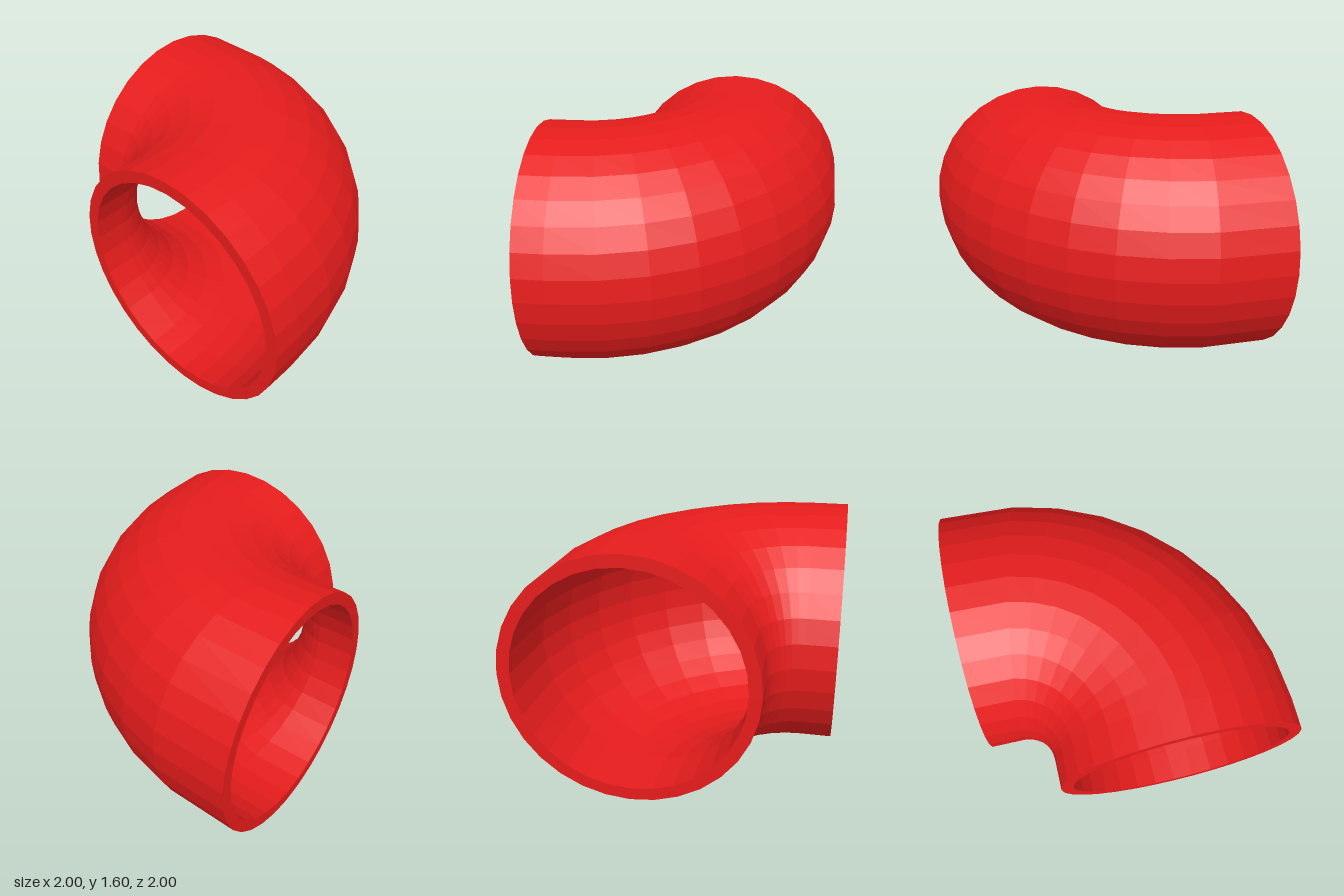
import * as THREE from 'three';

const SIDES = 32, OUTER = 0.8, INNER = 0.72, BEND = 1, CX = -0.8, CZ = 0.8, MID_Y = 0.8;

// Ring centres and headings along the elbow: straight end, 10 degree steps, straight end
function stations() {
  const list = [{ x: CX + BEND, z: 1, a: 0 }];
  for (let i = 0; i < 9; i++) {
    const a = THREE.MathUtils.degToRad(i * 10);
    list.push({ x: CX + BEND * Math.cos(a), z: CZ - BEND * Math.sin(a), a });
  }
  list.push({ x: -1, z: CZ - BEND, a: Math.PI / 2 });
  return list;
}

// Point on a ring of radius r; the ring plane holds y and the outward bend direction
function ringPoint(s, r, j) {
  const t = (j / SIDES) * Math.PI * 2, u = r * Math.cos(t);
  return [s.x + u * Math.cos(s.a), MID_Y + r * Math.sin(t), s.z - u * Math.sin(s.a)];
}

// Skin a list of rings, each { s: station, r: radius }
function skin(rings) {
  const pos = [], index = [], w = SIDES + 1;
  for (const { s, r } of rings) {
    for (let j = 0; j <= SIDES; j++) pos.push(...ringPoint(s, r, j));
  }
  for (let i = 0; i < rings.length - 1; i++) {
    for (let j = 0; j < SIDES; j++) {
      const a = i * w + j, b = a + 1, c = a + w, d = c + 1;
      index.push(a, c, b, b, c, d);
    }
  }
  const indexed = new THREE.BufferGeometry();
  indexed.setAttribute('position', new THREE.Float32BufferAttribute(pos, 3));
  indexed.setIndex(index);
  const g = indexed.toNonIndexed(); // separate faces give flat facets
  g.computeVertexNormals();
  return g;
}

export function createModel() {
  const group = new THREE.Group();
  group.name = 'pipeElbow';
  const red = new THREE.MeshStandardMaterial({ color: 0xe61c1c, flatShading: true });
  red.name = 'red';

  const path = stations(), back = [...path].reverse();
  const first = path[0], last = back[0];
  const add = (name, rings) => {
    const mesh = new THREE.Mesh(skin(rings), red);
    mesh.name = name;
    group.add(mesh);
  };

  // Pipe walls
  add('outerWall', path.map((s) => ({ s, r: OUTER })));
  add('innerWall', back.map((s) => ({ s, r: INNER })));
  // Annular rims closing the wall at both openings
  add('frontRim', [{ s: first, r: INNER }, { s: first, r: OUTER }]);
  add('sideRim', [{ s: last, r: OUTER }, { s: last, r: INNER }]);
  return group;
}
